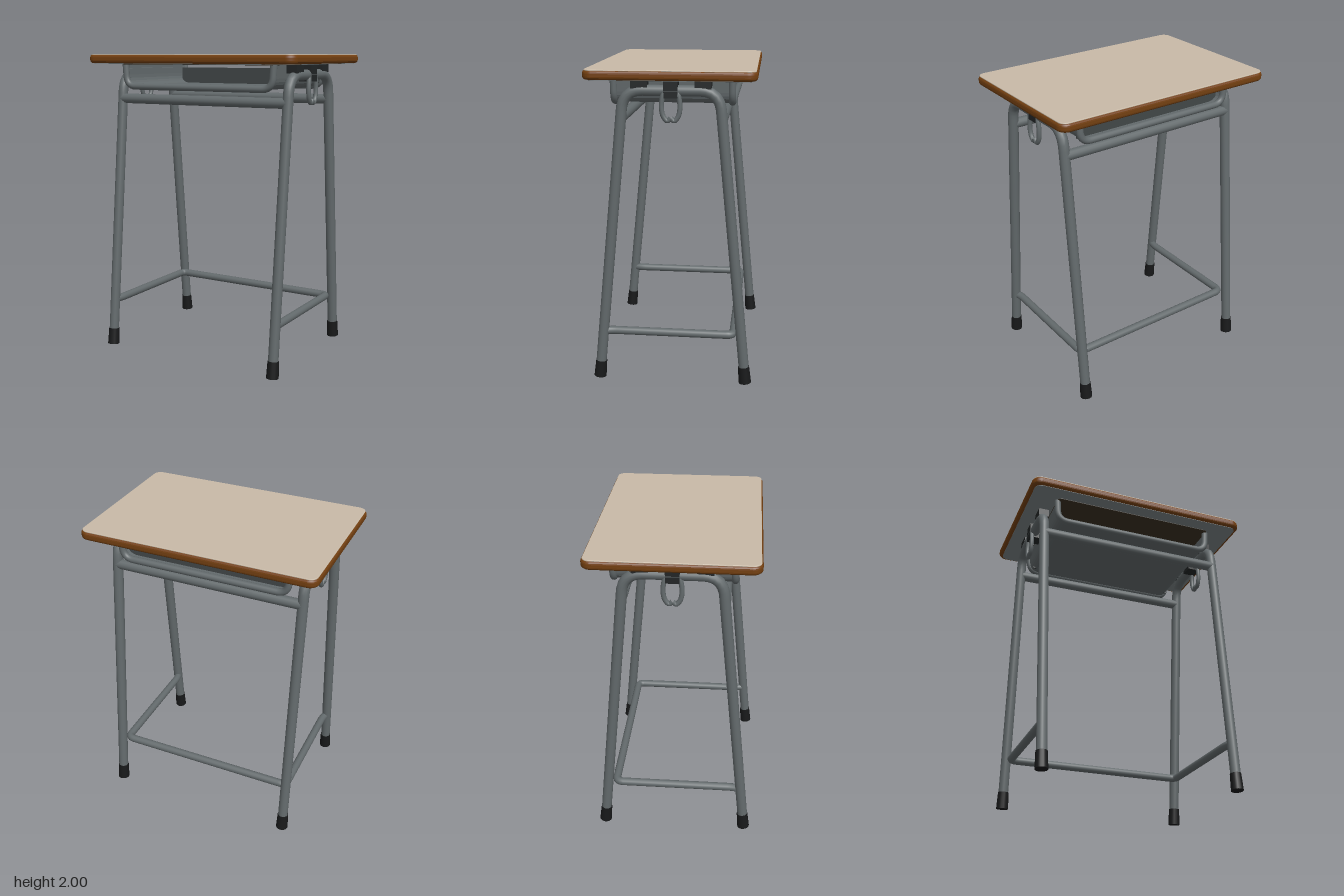
import * as THREE from 'three';

const mat = (name, color) => {
  const m = new THREE.MeshStandardMaterial({ color });
  m.name = name;
  return m;
};
const V = (x, y, z) => new THREE.Vector3(x, y, z);

// Polyline whose corners are rounded with radius-like setback r
function roundedPath(pts, r) {
  const path = new THREE.CurvePath();
  let from = pts[0];
  for (let i = 1; i < pts.length - 1; i++) {
    const p = pts[i];
    const a = p.clone().add(pts[i - 1].clone().sub(p).setLength(r));
    const b = p.clone().add(pts[i + 1].clone().sub(p).setLength(r));
    path.add(new THREE.LineCurve3(from, a));
    path.add(new THREE.QuadraticBezierCurve3(a, p, b));
    from = b;
  }
  path.add(new THREE.LineCurve3(from, pts[pts.length - 1]));
  return path;
}

// Horizontal rounded slab between y0 and y1, with rounded rim
function slab(hx, hz, corner, y0, y1, bevel) {
  const x = hx - bevel, z = hz - bevel, c = corner;
  const s = new THREE.Shape();
  s.moveTo(-x + c, -z);
  s.lineTo(x - c, -z);
  s.absarc(x - c, -z + c, c, -Math.PI / 2, 0);
  s.absarc(x - c, z - c, c, 0, Math.PI / 2);
  s.absarc(-x + c, z - c, c, Math.PI / 2, Math.PI);
  s.absarc(-x + c, -z + c, c, Math.PI, Math.PI * 1.5);
  const g = new THREE.ExtrudeGeometry(s, {
    depth: y1 - y0 - 2 * bevel, bevelEnabled: true, bevelSize: bevel,
    bevelThickness: bevel, bevelSegments: 4, curveSegments: 8,
  });
  g.rotateX(-Math.PI / 2);
  g.translate(0, y0 + bevel, 0);
  return g;
}

export function createModel() {
  const model = new THREE.Group();
  const steel = mat('grey steel', 0x636a6c);
  const wood = mat('brown wood edge', 0x744011);
  const laminate = mat('beige laminate', 0xc9baa7);
  const rubber = mat('black rubber', 0x18191a);
  const dark = mat('dark bracket', 0x222526);
  const shade = mat('dark grey sheet', 0x424748);
  const underside = mat('underside grey', 0x7a8284);
  const brownBoard = mat('dark brown board', 0x3a3022);

  const add = (name, geo, material, parent = model) => {
    const m = new THREE.Mesh(geo, material);
    m.name = name;
    parent.add(m);
    return m;
  };
  const tube = (name, path, r, seg, parent) =>
    add(name, new THREE.TubeGeometry(path, seg, r, 14), steel, parent);

  // Desk top: wooden body, laminate surface, grey underside with bare board above the tray
  add('topEdge', slab(0.763, 0.512, 0.04, 1.94, 1.996, 0.02), wood);
  add('topSurface', slab(0.754, 0.503, 0.045, 1.991, 2.0, 0.004), laminate);
  add('topUnderside', slab(0.74, 0.49, 0.045, 1.936, 1.943, 0.002), underside);
  add('underBoard', slab(0.56, 0.4, 0.03, 1.932, 1.937, 0.001), brownBoard);

  for (const side of [1, -1]) {
    const x = side * 0.625;
    const frame = new THREE.Group();
    frame.name = side > 0 ? 'leftFrame' : 'rightFrame';
    model.add(frame);

    // Front leg, top bar and back leg bent from one tube
    tube('legTube', roundedPath([
      V(x, 0.05, 0.468), V(x, 1.87, 0.288), V(x, 1.87, -0.288), V(x, 0.05, -0.468),
    ], 0.12), 0.033, 120, frame);

    for (const end of [1, -1]) {
      // Rubber foot, tilted with the leg
      const foot = add('foot', new THREE.CylinderGeometry(0.036, 0.04, 0.11, 16), rubber, frame);
      foot.position.set(x, 0.06, end * 0.466);
      foot.rotation.x = -end * 0.1;
      // Bracket between the frame and the top
      add('topBracket', new THREE.BoxGeometry(0.07, 0.06, 0.1), dark, frame)
        .position.set(side * 0.615, 1.912, end * 0.19);
      // Half of the bag hook
      tube('hook', new THREE.CatmullRomCurve3([
        V(x, 1.9, end * 0.02), V(side * 0.642, 1.86, end * 0.042),
        V(side * 0.645, 1.78, end * 0.055), V(side * 0.645, 1.72, end * 0.045),
        V(side * 0.645, 1.692, end * 0.02), V(side * 0.645, 1.71, 0),
      ]), 0.015, 32, frame);
    }
    add('hookMount', new THREE.BoxGeometry(0.085, 0.115, 0.085), dark, frame)
      .position.set(side * 0.615, 1.885, 0);
  }

  // Upper cross bars, front and back
  for (const end of [1, -1]) {
    tube(end > 0 ? 'frontCrossBar' : 'backCrossBar', roundedPath([
      V(-0.625, 1.703, end * 0.305), V(0.625, 1.703, end * 0.305),
    ], 0), 0.033, 4);
  }

  // Foot rail: runs back along both sides and across the rear, ends turned into the front legs
  tube('footRail', roundedPath([
    V(0.625, 0.32, 0.45), V(0.608, 0.32, 0.4), V(0.608, 0.32, -0.39),
    V(-0.608, 0.32, -0.39), V(-0.608, 0.32, 0.4), V(-0.625, 0.32, 0.45),
  ], 0.045), 0.026, 180);

  // Book tray: bent sheet with upturned sides
  const tray = new THREE.Group();
  tray.name = 'bookTray';
  model.add(tray);
  const profile = (z) => roundedPath([
    V(-0.555, 1.94, z), V(-0.545, 1.787, z), V(0.545, 1.787, z), V(0.555, 1.94, z),
  ], 0.07);
  const outline = profile(0).curves.flatMap((c) => c.getPoints(6));
  const t = 0.006;
  const sheet = new THREE.Shape([
    ...outline.map((p) => new THREE.Vector2(p.x * (1 + t), p.y - t)),
    ...outline.reverse().map((p) => new THREE.Vector2(p.x * (1 - t), p.y + (p.y > 1.9 ? -t : t))),
  ]);
  const sheetGeo = new THREE.ExtrudeGeometry(sheet, { depth: 0.72, bevelEnabled: false });
  sheetGeo.translate(0, 0, -0.36);
  add('traySheet', sheetGeo, steel, tray);
  for (const end of [1, -1]) tube('trayRim', profile(end * 0.358), 0.022, 90, tray);

  // Low stop across the tray
  add('trayStop', new THREE.BoxGeometry(1.07, 0.115, 0.012), shade, tray)
    .position.set(0, 1.845, -0.3);

  return model;
}
